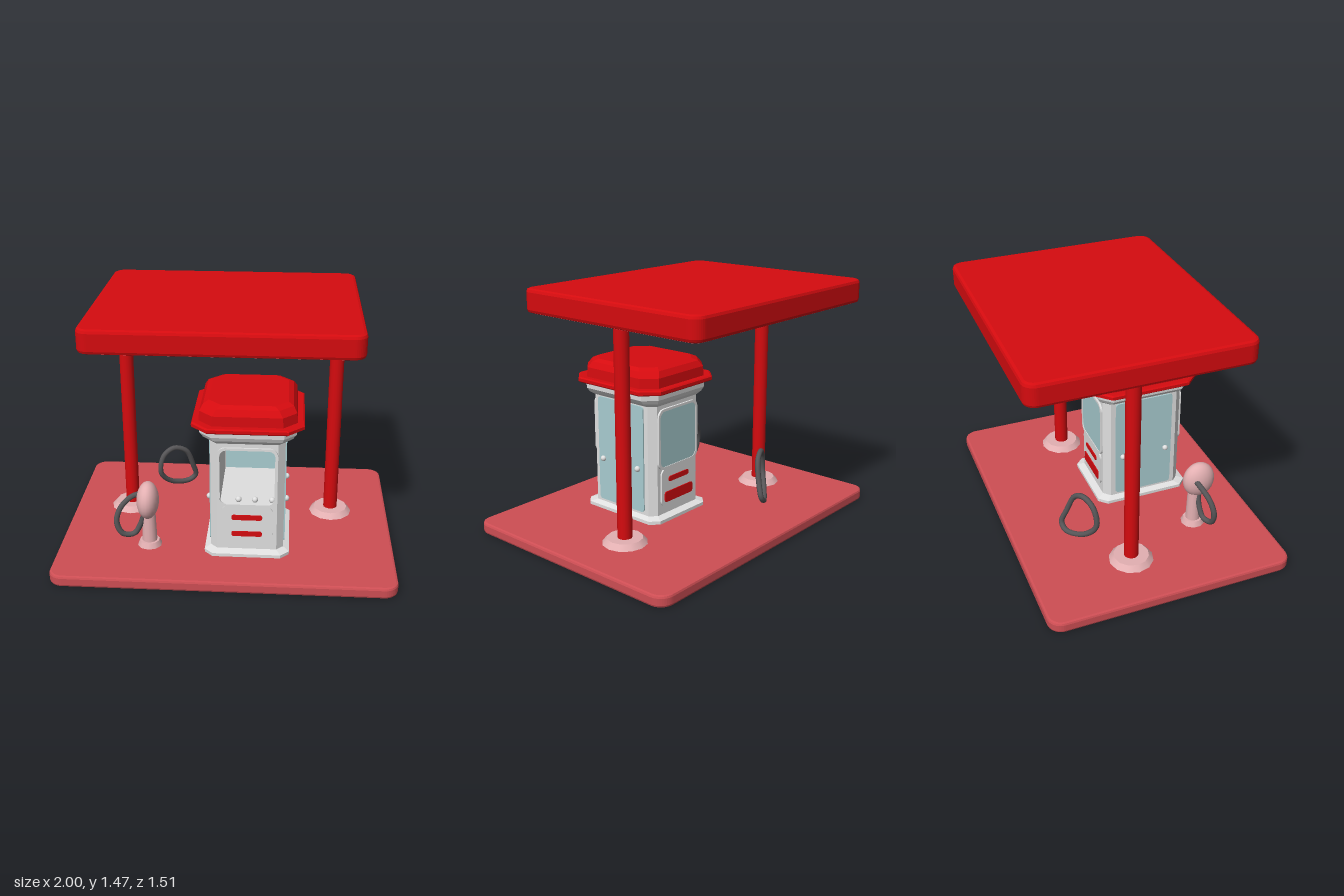
import * as THREE from 'three';

const mat = (name, color) => Object.assign(new THREE.MeshStandardMaterial({ color }), { name });

// Rounded rectangle outline centred on the origin
function roundRect(w, h, r, Type = THREE.Shape) {
  const s = new Type(), x = w / 2, y = h / 2;
  const corners = [[x - r, y - r, 0], [r - x, y - r, 1], [r - x, r - y, 2], [x - r, r - y, 3]];
  for (const [cx, cy, q] of corners) s.absarc(cx, cy, r, q * Math.PI / 2, (q + 1) * Math.PI / 2, false);
  s.closePath();
  return s;
}

// Octagon with chamfered corners, listed as [x, z]
const octagon = (hx, hz, c) => [
  [hx, hz - c], [hx - c, hz], [c - hx, hz], [-hx, hz - c],
  [-hx, c - hz], [c - hx, -hz], [hx - c, -hz], [hx, c - hz]];

// Faceted solid through octagon rings [y, halfX, halfZ, chamfer], bottom to top
function octLoft(rings) {
  const loops = rings.map(([y, hx, hz, c]) => octagon(hx, hz, c).map(([x, z]) => [x, y, z]));
  const pos = [], tri = (a, b, c) => pos.push(...a, ...b, ...c);
  for (let i = 0; i + 1 < loops.length; i++) {
    const lo = loops[i], hi = loops[i + 1];
    for (let k = 0; k < 8; k++) {
      const n = (k + 1) % 8;
      tri(lo[k], hi[k], hi[n]);
      tri(lo[k], hi[n], lo[n]);
    }
  }
  const bottom = loops[0], top = loops[loops.length - 1];
  for (let k = 1; k < 7; k++) {
    tri(top[0], top[k + 1], top[k]);
    tri(bottom[0], bottom[k], bottom[k + 1]);
  }
  const g = new THREE.BufferGeometry();
  g.setAttribute('position', new THREE.Float32BufferAttribute(pos, 3));
  g.computeVertexNormals();
  return g;
}

// Flat slab with rounded corners and bevelled edges, standing on y = 0
function slab(w, d, h, r, b) {
  const g = new THREE.ExtrudeGeometry(roundRect(w - 2 * b, d - 2 * b, r), {
    depth: h - 2 * b, bevelThickness: b, bevelSize: b, bevelSegments: 2, curveSegments: 5 });
  return g.translate(0, 0, b).rotateX(-Math.PI / 2);
}

const plate = (w, h, r, depth = 0.008) =>
  new THREE.ExtrudeGeometry(roundRect(w, h, r), { depth, bevelEnabled: false, curveSegments: 5 });

export function createModel() {
  const red = mat('signal red', 0xd60b0f), floorRed = mat('faded red', 0xce4e54);
  const white = mat('off white', 0xe0e0e0), blue = mat('pale glass blue', 0xa9cdd1);
  const pink = mat('pale pink', 0xe3b0b2), rubber = mat('dark rubber', 0x575658);

  const model = new THREE.Group();
  model.name = 'fuelStation';
  const add = (name, geo, material, x = 0, y = 0, z = 0, parent = model) => {
    const m = new THREE.Mesh(geo, material);
    m.name = name;
    m.position.set(x, y, z);
    parent.add(m);
    return m;
  };

  // Ground slab and canopy
  add('groundSlab', slab(2, 1.49, 0.068, 0.07, 0.014), floorRed, 0, 0, 0.005);
  add('canopy', slab(1.56, 1.29, 0.14, 0.05, 0.02), red, -0.02, 1.33, -0.113);
  add('canopyUnderside', plate(1.5, 1.23, 0.05, 0.006).rotateX(-Math.PI / 2), floorRed, -0.02, 1.326, -0.113);

  // Canopy posts with round feet
  for (const x of [-0.642, 0.638]) {
    add('canopyPost', new THREE.CylinderGeometry(0.043, 0.043, 1.26, 16), red, x, 0.71, -0.13);
    add('postFoot', new THREE.CylinderGeometry(0.105, 0.135, 0.035, 12), pink, x, 0.083, -0.13);
  }

  // Booth, built around its own centre
  const booth = new THREE.Group();
  booth.name = 'booth';
  booth.position.set(0.128, 0, 0.175);
  model.add(booth);
  const hx = 0.215, hz = 0.255, ch = 0.04;
  const part = (name, geo, material, x, y, z) => add(name, geo, material, x, y, z, booth);

  part('boothSkirt', octLoft([[0.065, 0.25, 0.298, 0.05], [0.088, 0.25, 0.298, 0.05], [0.102, hx, hz, ch]]), white);
  part('boothLower', octLoft([[0.09, hx, hz, ch], [0.4, hx, hz, ch]]), white);
  part('boothCornice', octLoft([[0.75, hx, hz, ch], [0.785, hx, hz, ch], [0.81, 0.255, 0.28, 0.06],
    [0.835, 0.275, 0.292, 0.07], [0.88, 0.278, 0.295, 0.07]]), white);

  // Hollow middle, open at the front
  const nx = 0.158, back = -0.215, o = octagon(hx, hz, ch);
  const ring = [o[0], o[1], [nx, hz], [nx, back], [-nx, back], [-nx, hz], ...o.slice(2)];
  const middle = new THREE.ExtrudeGeometry(
    new THREE.Shape(ring.map(([x, z]) => new THREE.Vector2(x, -z))), { depth: 0.35, bevelEnabled: false });
  part('boothWalls', middle.rotateX(-Math.PI / 2), white, 0, 0.4, 0);
  part('innerBackPane', plate(0.31, 0.345, 0.01, 0.005), blue, 0, 0.575, back);

  // Window frames, front and back
  const frameShape = roundRect(0.35, 0.375, 0.05);
  frameShape.holes.push(roundRect(0.318, 0.345, 0.04, THREE.Path));
  const frame = new THREE.ExtrudeGeometry(frameShape, { depth: 0.012, bevelEnabled: false, curveSegments: 5 });
  part('frontWindowFrame', frame, white, 0, 0.575, hz);
  part('backWindowFrame', frame, white, 0, 0.575, -hz - 0.012);
  part('backWindow', plate(0.318, 0.345, 0.04), blue, 0, 0.575, -hz - 0.008);

  // Hatch panels with red slots on both faces
  for (const s of [1, -1]) {
    const face = new THREE.Group();
    face.name = s > 0 ? 'frontHatch' : 'backHatch';
    face.rotation.y = s > 0 ? 0 : Math.PI;
    booth.add(face);
    add('hatchPanel', plate(0.3, 0.24, 0.04, 0.01), white, 0, 0.27, hz, face);
    add('upperSlot', plate(0.18, 0.032, 0.014, 0.006), red, 0, 0.318, hz + 0.01, face);
    add('lowerSlot', plate(s > 0 ? 0.18 : 0.25, s > 0 ? 0.032 : 0.065, 0.014, 0.006), red, 0, 0.21, hz + 0.01, face);
  }

  // Side panes with a pair of knobs
  const knob = new THREE.SphereGeometry(0.018, 10, 8);
  for (const s of [1, -1]) {
    part('sidePane', plate(0.37, 0.66, 0.02).rotateY(s * Math.PI / 2), blue, s * hx, 0.45, 0);
    for (const z of [0.145, -0.14]) part('sideKnob', knob, white, s * (hx + 0.012), 0.39, z);
  }
  for (const x of [-0.05, 0.045, 0.145]) part('sillKnob', knob, white, x, 0.422, hz - 0.02);

  // Booth roof
  part('roofBrim', octLoft([[0.875, 0.312, 0.327, 0.09], [0.882, 0.32, 0.335, 0.09],
    [0.9, 0.32, 0.335, 0.09], [0.907, 0.312, 0.327, 0.09]]), red);
  part('roofCrown', octLoft([[0.9, 0.28, 0.295, 0.08], [0.965, 0.276, 0.292, 0.08],
    [1, 0.255, 0.27, 0.08], [1.015, 0.225, 0.24, 0.075]]), red);

  // Pump stand with a rounded head
  const px = -0.46, pz = 0.355;
  add('pumpFoot', new THREE.CylinderGeometry(0.06, 0.075, 0.035, 10), pink, px, 0.083, pz);
  add('pumpStem', new THREE.CylinderGeometry(0.038, 0.045, 0.22, 14), pink, px, 0.2, pz);
  const head = new THREE.SphereGeometry(1, 20, 14).scale(0.066, 0.115, 0.1);
  add('pumpHead', head, pink, px, 0.38, 0.38);

  // Hoses
  const hose = (name, pts, closed) => add(name, new THREE.TubeGeometry(
    new THREE.CatmullRomCurve3(pts.map(p => new THREE.Vector3(...p)), closed), 56, 0.017, 8, closed), rubber);
  hose('pumpHose', [[-0.48, 0.4, 0.34], [-0.55, 0.39, 0.35], [-0.62, 0.33, 0.38], [-0.648, 0.24, 0.4],
    [-0.615, 0.16, 0.4], [-0.55, 0.15, 0.38], [-0.51, 0.21, 0.37], [-0.48, 0.3, 0.37]], false);
  hose('looseHose', [[-0.39, 0.385, -0.325], [-0.315, 0.35, -0.36], [-0.275, 0.23, -0.4], [-0.262, 0.14, -0.43],
    [-0.305, 0.105, -0.42], [-0.41, 0.13, -0.345], [-0.475, 0.22, -0.285], [-0.455, 0.34, -0.293]], true);

  return model;
}
